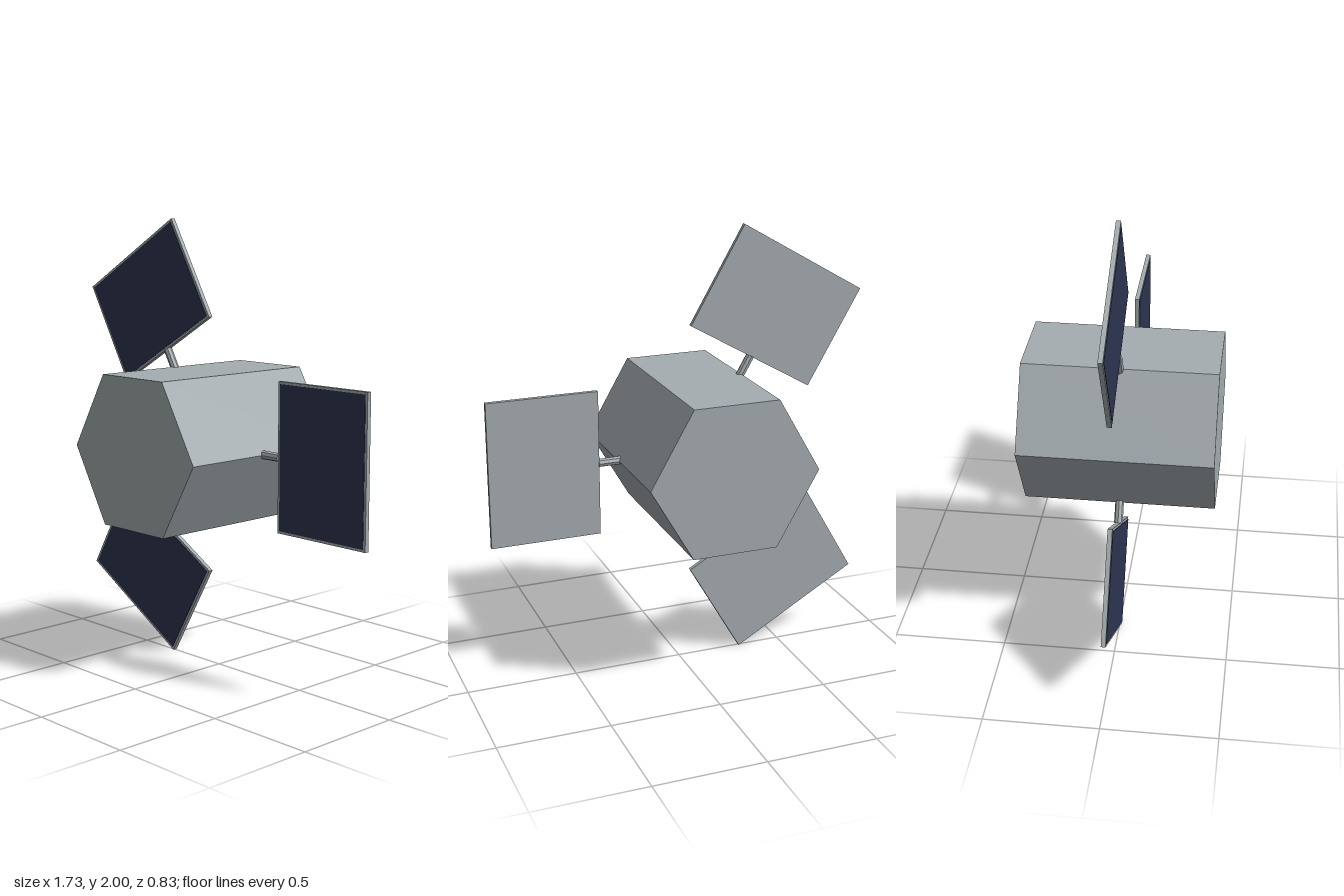
import * as THREE from 'three';

const CENTER = new THREE.Vector3(-0.1, 1, 0);
const BODY_RADIUS = 0.385, BODY_DEPTH = 0.834;
const PANEL_INNER = 0.473, PANEL_OUTER = 0.965, PANEL_WIDTH = 0.654, PANEL_THICK = 0.02;
const RIM = 0.011;

export function createModel() {
  const model = new THREE.Group();
  model.name = 'satellite';

  const hull = new THREE.MeshStandardMaterial({ color: 0xa5adb0 });
  hull.name = 'hull grey';
  const cell = new THREE.MeshStandardMaterial({ color: 0x2c3450 });
  cell.name = 'solar cell navy';

  const add = (parent, name, geometry, material, x = 0, z = 0) => {
    // non-indexed normals keep every facet flat
    const flat = geometry.toNonIndexed();
    flat.computeVertexNormals();
    const mesh = new THREE.Mesh(flat, material);
    mesh.name = name;
    mesh.position.set(x, 0, z);
    parent.add(mesh);
    return mesh;
  };

  const craft = new THREE.Group();
  craft.name = 'craft';
  craft.position.copy(CENTER);
  model.add(craft);

  // hexagonal body, long axis along z with a corner pointing to +x
  const prism = new THREE.CylinderGeometry(BODY_RADIUS, BODY_RADIUS, BODY_DEPTH, 6);
  prism.rotateX(Math.PI / 2).rotateZ(Math.PI / 2);
  add(craft, 'body', prism, hull);

  // three solar wings, each on a strut from every second corner
  const length = PANEL_OUTER - PANEL_INNER;
  const middle = (PANEL_OUTER + PANEL_INNER) / 2;
  for (let i = 0; i < 3; i++) {
    const wing = new THREE.Group();
    wing.name = `solarWing${i + 1}`;
    wing.rotation.z = (i * Math.PI * 2) / 3;
    craft.add(wing);

    const strut = new THREE.CylinderGeometry(0.019, 0.019, 0.125, 8);
    strut.rotateZ(Math.PI / 2);
    add(wing, 'strut', strut, hull, 0.4125);

    add(wing, 'panelFrame', new THREE.BoxGeometry(length, PANEL_WIDTH, PANEL_THICK), hull, middle);

    // dark cells cover the front only
    const cells = new THREE.BoxGeometry(length - 2 * RIM, PANEL_WIDTH - 2 * RIM, 0.004);
    add(wing, 'solarCells', cells, cell, middle, PANEL_THICK / 2);
  }
  return model;
}
